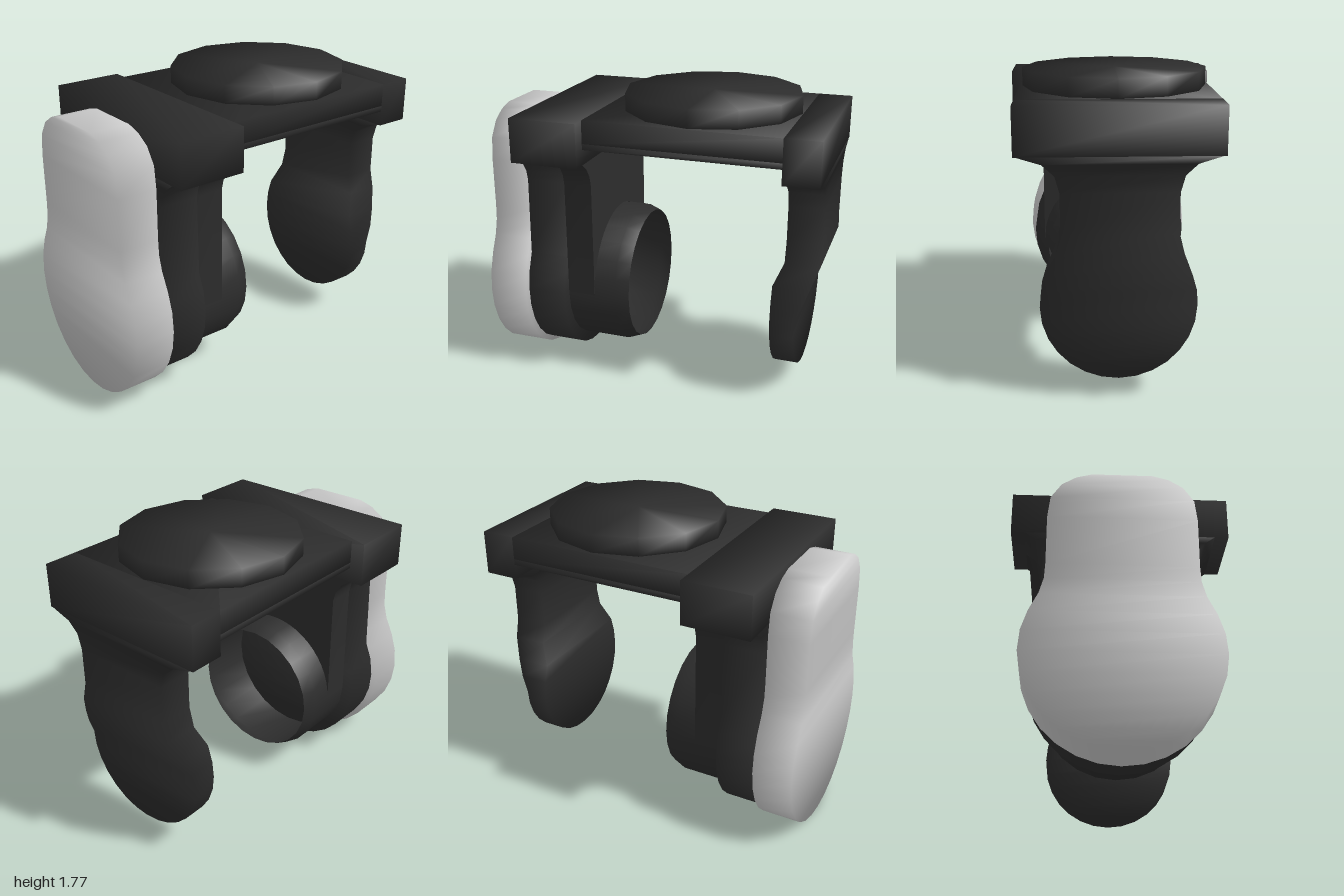
import * as THREE from 'three';
import { toCreasedNormals } from 'three/addons/utils/BufferGeometryUtils.js';

const dark = new THREE.MeshStandardMaterial({ color: 0x2d2d2d });
const darkThin = new THREE.MeshStandardMaterial({ color: 0x2d2d2d, side: THREE.DoubleSide });
const grey = new THREE.MeshStandardMaterial({ color: 0xcccccc });
const SOFT = 1.7; // crease angle that also shades square edges smoothly

// Rows of a round bottom end, from the lowest point up to angle a1 (degrees)
function arc(cy, r, a1, n) {
  const rows = [];
  for (let i = 0; i <= n; i++) {
    const a = THREE.MathUtils.degToRad(-90 + ((a1 + 90) * i) / n);
    rows.push([cy + r * Math.sin(a), r * Math.cos(a)]);
  }
  return rows;
}

// Solid from rectangular sections stacked upwards; row = [y, half depth, x0, x1]
function loft(rows, x0, x1) {
  const pos = [], index = [];
  rows.forEach(([y, w, a = x0, b = x1]) => pos.push(a, y, w, b, y, w, b, y, -w, a, y, -w));
  const quad = (a, b, c, d) => index.push(a, b, c, a, c, d);
  for (let i = 0; i < rows.length - 1; i++) {
    const o = i * 4;
    for (let k = 0; k < 4; k++) {
      const n = (k + 1) % 4;
      quad(o + k, o + n, o + 4 + n, o + 4 + k);
    }
  }
  const t = (rows.length - 1) * 4;
  quad(t, t + 1, t + 2, t + 3);
  const g = new THREE.BufferGeometry();
  g.setAttribute('position', new THREE.Float32BufferAttribute(pos, 3));
  g.setIndex(index);
  return toCreasedNormals(g, SOFT);
}

function slab(x0, x1, y0, y1, z0, z1) {
  const g = new THREE.BoxGeometry(x1 - x0, y1 - y0, z1 - z0);
  g.translate((x0 + x1) / 2, (y0 + y1) / 2, (z0 + z1) / 2);
  return toCreasedNormals(g, SOFT);
}

export function createModel() {
  const model = new THREE.Group();
  const add = (name, geometry, material = dark) => {
    const mesh = new THREE.Mesh(geometry, material);
    mesh.name = name;
    model.add(mesh);
  };

  // Pale outer cover with a round lower end and a narrower rounded top
  add('outerCover', loft([
    ...arc(0.545, 0.543, 24, 9),
    [0.87, 0.445], [0.96, 0.42], [1.05, 0.415], [1.35, 0.415], [1.48, 0.4],
    [1.57, 0.34], [1.62, 0.26], [1.645, 0.17],
  ], -1, -0.763), grey);

  // Thick arm: wide outer disc, flared neck and header block
  const neck = [[1.25, 0.44], [1.31, 0.455], [1.37, 0.495], [1.41, 0.55]];
  add('armOuterHalf', loft([...arc(0.545, 0.51, 28, 9), ...neck], -0.755, -0.518));
  add('armHeader', slab(-0.755, -0.347, 1.41, 1.67, -0.63, 0.63));

  // Inner half of the arm, cut out below to straddle the hub tube
  const saddle = new THREE.Shape();
  saddle.moveTo(0.44, 0.545);
  neck.forEach(([y, w]) => saddle.lineTo(w, y));
  [...neck].reverse().forEach(([y, w]) => saddle.lineTo(-w, y));
  saddle.lineTo(-0.44, 0.545);
  saddle.absarc(0, 0.545, 0.44, Math.PI, 0, true);
  const inner = new THREE.ExtrudeGeometry(saddle, { depth: 0.171, bevelEnabled: false, curveSegments: 12 });
  inner.rotateY(Math.PI / 2).translate(-0.518, 0, 0);
  add('armInnerHalf', toCreasedNormals(inner, 0.7));

  // Open hub tube with a slightly tapered mouth
  const hub = new THREE.LatheGeometry(
    [[0.44, -0.518], [0.44, -0.215], [0.41, -0.137]].map(([r, y]) => new THREE.Vector2(r, y)), 24);
  hub.rotateZ(-Math.PI / 2).translate(0, 0.545, 0);
  add('hubTube', toCreasedNormals(hub, 0.7), darkThin);

  // Bridge plate, with two rails framing a shallow recess underneath
  add('bridgePlate', slab(-0.347, 0.795, 1.535, 1.67, -0.545, 0.545));
  for (const z of [-0.545, 0.25]) {
    add('bridgeRail', slab(-0.347, 0.795, 1.5, 1.535, z, z + 0.295));
  }

  // Twelve-sided top disc
  const disc = new THREE.CylinderGeometry(0.527, 0.527, 0.105, 12);
  add('topDisc', toCreasedNormals(disc.translate(0.265, 1.7225, 0), SOFT));

  // Thin far leg: rounded paddle stepping inwards below a slim neck
  add('legHeader', slab(0.795, 1, 1.41, 1.67, -0.545, 0.545));
  add('leg', loft([
    ...arc(0.55, 0.43, 0, 7).map(([y, w]) => [y, w, 0.74, 0.88]),
    [0.65, 0.42, 0.74, 0.918], [0.75, 0.39, 0.74, 0.955], [0.88, 0.34, 0.795, 1],
    [1.0, 0.31, 0.795, 1], [1.22, 0.31, 0.795, 1], [1.31, 0.335, 0.795, 1],
    [1.37, 0.4, 0.795, 1], [1.41, 0.53, 0.795, 1],
  ]));

  return model;
}
